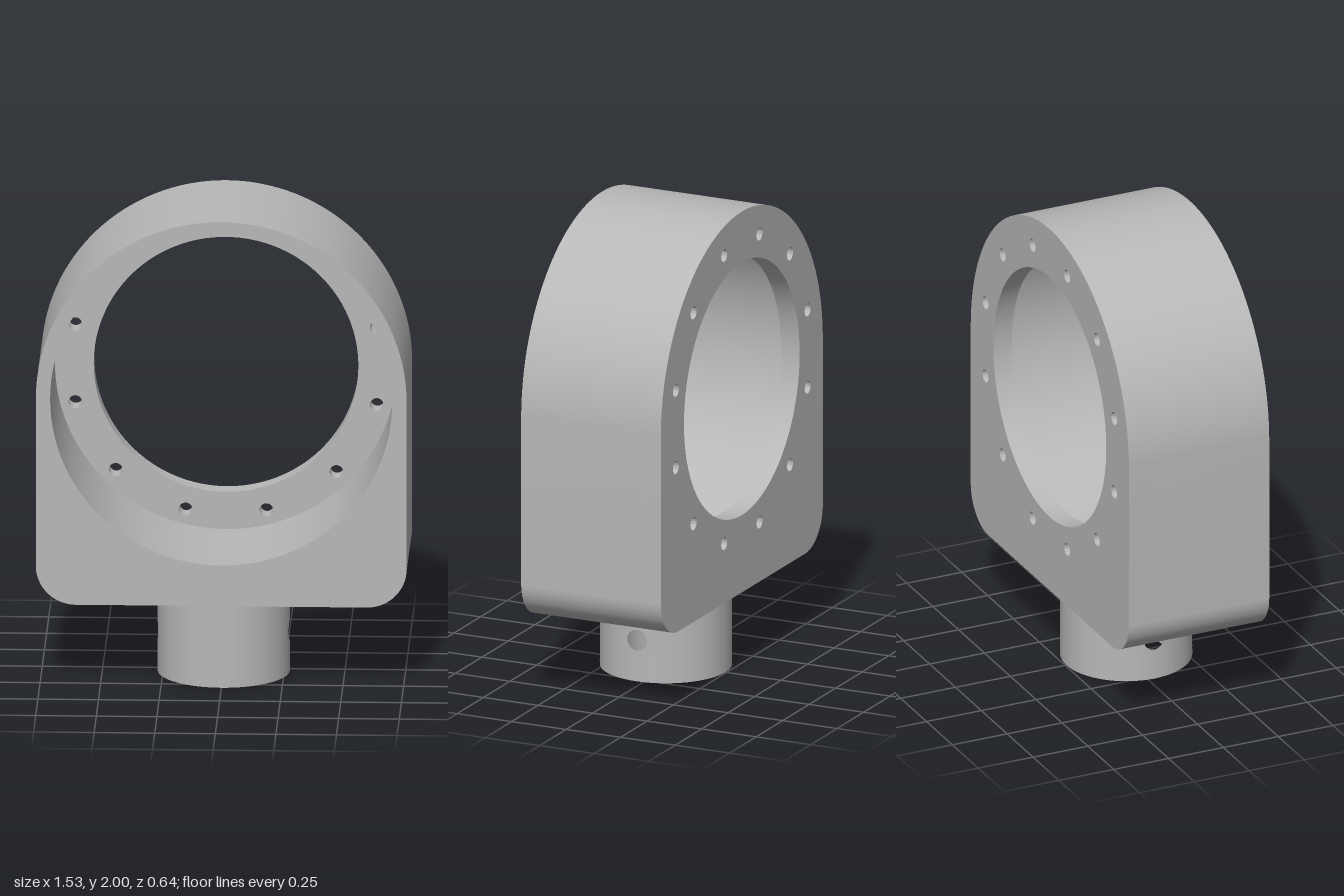
import * as THREE from 'three';
import { toCreasedNormals } from 'three/addons/utils/BufferGeometryUtils.js';

const W = 0.765, CY = 1.235, BASE = 0.355, CORNER = 0.165; // housing outline
const FRONT = 0.32, BACK = -0.32, STEP = -0.235;           // housing depths
const R_OUT = 0.273, R_IN = 0.173, R_PIN = 0.045, STEM_Z = 0.028;

const steel = new THREE.MeshStandardMaterial({ color: 0xb8b8b8 });
steel.name = 'grey metal';

function mesh(name, geometry) {
  const m = new THREE.Mesh(geometry, steel);
  m.name = name;
  return m;
}

function circle(x, y, r) {
  return new THREE.Path().absarc(x, y, r, 0, Math.PI * 2, true);
}

// Arched plate with rounded lower corners and the given holes
function archedPlate(holes, z0, z1) {
  const s = new THREE.Shape();
  s.moveTo(-W + CORNER, BASE);
  s.lineTo(W - CORNER, BASE);
  s.absarc(W - CORNER, BASE + CORNER, CORNER, -Math.PI / 2, 0, false);
  s.lineTo(W, CY);
  s.absarc(0, CY, W, 0, Math.PI, false);
  s.lineTo(-W, BASE + CORNER);
  s.absarc(-W + CORNER, BASE + CORNER, CORNER, Math.PI, Math.PI * 1.5, false);
  s.holes.push(...holes);
  const g = new THREE.ExtrudeGeometry(s, { depth: z1 - z0, bevelEnabled: false, curveSegments: 64 });
  g.translate(0, 0, z0);
  return toCreasedNormals(g, 0.6);
}

// Grid surface from point(i, j), i in 0..n, j in 0..m
function gridSurface(n, m, point, flip) {
  const pos = [], idx = [];
  for (let j = 0; j <= m; j++) for (let i = 0; i <= n; i++) pos.push(...point(i, j));
  for (let j = 0; j < m; j++) for (let i = 0; i < n; i++) {
    const a = j * (n + 1) + i, b = a + 1, c = a + n + 1, d = c + 1;
    idx.push(...(flip ? [a, c, b, b, c, d] : [a, b, c, b, d, c]));
  }
  const g = new THREE.BufferGeometry();
  g.setAttribute('position', new THREE.Float32BufferAttribute(pos, 3));
  g.setIndex(idx);
  g.computeVertexNormals();
  return g;
}

// Point i on the border of a unit square, counter-clockwise
const SIDE = 32, AROUND = SIDE * 4;
function squarePoint(i) {
  const k = Math.floor(i / SIDE) % 4, t = (i % SIDE) / SIDE * 2 - 1;
  return [[1, t], [-t, 1], [-1, -t], [t, -1]][k];
}

// Cross-hole edge on a wall of radius r, as [angle, height]
function pinEdge(i, r) {
  const [u, v] = squarePoint(i), a = Math.atan2(v, u);
  return [Math.asin(R_PIN * Math.cos(a) / r), BASE / 2 + R_PIN * Math.sin(a)];
}

const onWall = (r, [a, y]) => [r * Math.cos(a), y, -r * Math.sin(a)];

// Half of a cylinder wall facing +x, pierced by the cross hole
function piercedWall(r, inward) {
  const rings = 8;
  const g = gridSurface(AROUND, rings, (i, j) => {
    const [u, v] = squarePoint(i), [a, y] = pinEdge(i, r), t = j / rings;
    return onWall(r, [
      THREE.MathUtils.lerp(a, u * Math.PI / 2, t),
      THREE.MathUtils.lerp(y, BASE / 2 * (1 + v), t),
    ]);
  }, !inward);
  const p = g.attributes.position, s = inward ? -1 / r : 1 / r;
  for (let i = 0; i < p.count; i++) g.attributes.normal.setXYZ(i, p.getX(i) * s, 0, p.getZ(i) * s);
  return g;
}

function createStem() {
  const stem = new THREE.Group();
  stem.name = 'stem';
  const outer = piercedWall(R_OUT, false), inner = piercedWall(R_IN, true);
  const pin = gridSurface(AROUND, 1, (i, j) => {
    const r = j ? R_IN : R_OUT;
    return onWall(r, pinEdge(i, r));
  }, true);
  for (const [side, turn] of [['left', 0], ['right', Math.PI]]) {
    const half = new THREE.Group();
    half.name = side + 'StemHalf';
    half.add(mesh('stemOuterWall', outer), mesh('stemBore', inner), mesh('pinHole', pin));
    half.rotation.y = turn;
    stem.add(half);
  }
  const rim = mesh('stemRim', new THREE.RingGeometry(R_IN, R_OUT, SIDE * 2));
  rim.rotation.x = Math.PI / 2;
  stem.add(rim);
  stem.position.z = STEM_Z;
  return stem;
}

export function createModel() {
  const model = new THREE.Group();
  model.name = 'ringHousing';

  // Deep front shell around the wide bore
  model.add(mesh('housingShell', archedPlate([circle(0, CY, 0.706)], STEP, FRONT)));

  // Back flange with a narrower opening and twelve bolt holes
  const holes = [circle(0, CY, 0.546)];
  for (let i = 0; i < 12; i++) {
    const a = (i + 0.5) * Math.PI / 6;
    holes.push(circle(0.644 * Math.cos(a), CY + 0.644 * Math.sin(a), 0.028));
  }
  model.add(mesh('backFlange', archedPlate(holes, BACK, STEP)));

  // Hollow mounting stem below
  model.add(createStem());
  return model;
}
